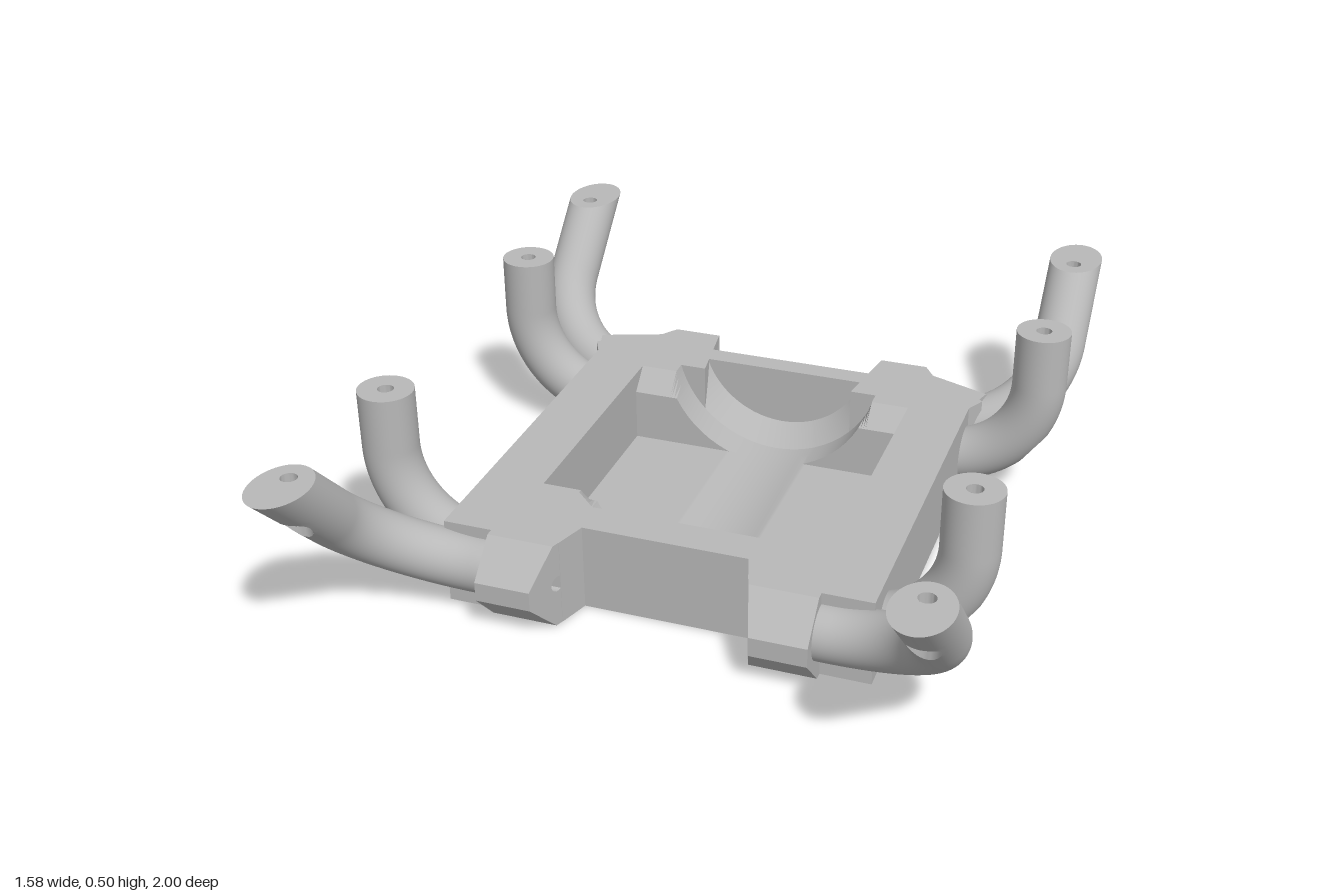
import * as THREE from 'three';
import { toCreasedNormals } from 'three/addons/utils/BufferGeometryUtils.js';

const HEIGHT = 0.225, TOP = 0.5, TUBE_R = 0.07, TUBE_X = 0.72;
const BORE_R = 0.02, COUNTERBORE_R = 0.037;

// Skins a grid of points (rows of [x, y, z]); wrap closes every row
function skin(rows, wrap, keep = () => true) {
  const n = rows[0].length, pts = rows.flat(), index = [];
  const tri = (...t) => { if (keep(t.map(i => pts[i]))) index.push(...t); };
  for (let i = 0; i < rows.length - 1; i++) {
    for (let j = 0; j < (wrap ? n : n - 1); j++) {
      const k = (j + 1) % n;
      const a = i * n + j, b = i * n + k, c = b + n, d = a + n;
      tri(a, d, c);
      tri(a, c, b);
    }
  }
  const g = new THREE.BufferGeometry();
  g.setAttribute('position', new THREE.Float32BufferAttribute(pts.flat(), 3));
  g.setIndex(index);
  g.computeVertexNormals();
  return g;
}

// Frame with a rectangular opening
function frameGeometry() {
  const half = [[0.21, -0.44], [0.235, -0.52], [0.535, -0.52], [0.535, 0.45], [0.56, 0.5], [0.5, 0.56]];
  const outline = [...half, ...half.map(([x, y]) => [-x, y]).reverse()];
  const shape = new THREE.Shape(outline.map(p => new THREE.Vector2(...p)));
  const hole = [[-0.38, -0.345], [-0.38, 0.5], [0.38, 0.5], [0.38, -0.345]];
  shape.holes.push(new THREE.Path(hole.map(p => new THREE.Vector2(...p))));
  return new THREE.ExtrudeGeometry(shape, { depth: HEIGHT, bevelEnabled: false }).rotateX(-Math.PI / 2);
}

// Recess: flat floor, chamfered end walls and a round cradle with conical ends
function recessGeometry() {
  const axisY = 0.3, R = 0.29, FLOOR = 0.03;
  const width = (r, top) => Math.sqrt(r * r - (axisY - top) ** 2);
  const rim = width(R, HEIGHT);
  const xs = [0.38, -0.38, rim, -rim];
  for (const top of [0.17, FLOOR]) xs.push(width(R, top), -width(R, top));
  for (let i = -14; i <= 14; i++) xs.push(rim * Math.sin(i / 15 * Math.PI / 2));
  xs.sort((a, b) => a - b);
  const section = (z, r, top) => xs.map(b => {
    const inside = Math.abs(b) <= rim + 1e-6;
    const x = inside ? b * width(r, HEIGHT) / rim : b;
    return [x, inside ? Math.min(top, axisY - Math.sqrt(r * r - x * x)) : top, z];
  });
  const flat = z => section(z, 0.235, HEIGHT).map(([x, , zz]) => [x, HEIGHT, zz]);
  const rows = [
    flat(-0.5), section(-0.5, 0.235, HEIGHT), section(-0.44, R, HEIGHT),
    section(-0.4, R, HEIGHT), section(-0.345, R, 0.17), section(-0.345, R, FLOOR),
    section(0.23, R, FLOOR), section(0.23, R, 0.17), section(0.28, R, HEIGHT),
    section(0.29, R, HEIGHT), section(0.345, 0.235, HEIGHT), flat(0.345),
  ];
  return toCreasedNormals(skin(rows, false), 0.5);
}

// Hinge lug: eight-sided nose with a pin hole; stations are [x, skew, skewStart, shorten]
function lugGeometry(tip, stations) {
  const base = 0.44;
  const shape = new THREE.Shape([
    [base, 0], [tip - 0.085, 0], [tip, 0.09], [tip, 0.14], [tip - 0.085, HEIGHT], [base, HEIGHT],
  ].map(p => new THREE.Vector2(...p)));
  shape.holes.push(new THREE.Path().absarc(tip - 0.095, 0.115, 0.02, 0, Math.PI * 2, true));
  const steps = stations.length - 1;
  const g = new THREE.ExtrudeGeometry(shape, { depth: 1, steps, bevelEnabled: false, curveSegments: 16 });
  const p = g.attributes.position;
  for (let i = 0; i < p.count; i++) {
    const [x, skew, start, shorten] = stations[Math.round(p.getZ(i) * steps)];
    const s0 = p.getX(i), s = s0 > base + 0.01 ? s0 - shorten : s0;
    p.setXYZ(i, x + skew * Math.max(0, s - start), p.getY(i), -s);
  }
  g.computeVertexNormals();
  return g;
}

// Bent post: runs outward, bends towards up, is cut level at the top and bored vertically
function makePost(name, material, { startX, base, bend, up, endZ, boreZ, underside }) {
  const group = new THREE.Group();
  group.name = name;
  const [uy, uz] = up, cx = TUBE_X - bend;
  const lead = cx - startX, arc = bend * Math.PI / 2;
  const rise = (TOP - base[0]) / uy - bend + 0.12;
  const total = lead + arc + rise, rows = [];
  for (let i = 0; i <= 80; i++) {
    const d = total * i / 80;
    const a = THREE.MathUtils.clamp((d - lead) / bend, 0, Math.PI / 2);
    const px = d < lead ? startX + d : cx + bend * Math.sin(a);
    const pu = bend * (1 - Math.cos(a)) + Math.max(0, d - lead - arc);
    const row = [];
    for (let j = 0; j < 56; j++) {
      const f = j / 56 * Math.PI * 2, n = TUBE_R * Math.cos(f), m = TUBE_R * Math.sin(f);
      const u = pu - n * Math.cos(a);
      let x = px + n * Math.sin(a);
      let y = base[0] + u * uy - m * uz, z = base[1] + u * uz + m * uy;
      if (y > TOP) { z -= (y - TOP) * uz / uy; y = TOP; }
      // Pull points near the bore onto its rim
      const r = Math.hypot(x - TUBE_X, z - boreZ);
      if (y < 0.47 && Math.abs(r - COUNTERBORE_R) < 0.006) {
        x = TUBE_X + (x - TUBE_X) * COUNTERBORE_R / r;
        z = boreZ + (z - boreZ) * COUNTERBORE_R / r;
        y = underside(x, z);
      }
      row.push([x, y, z]);
    }
    rows.push(row);
  }
  const keep = t => !t.every(([x, , z]) => Math.hypot(x - TUBE_X, z - boreZ) < COUNTERBORE_R + 1e-4)
    && !t.every(v => v[1] > TOP - 1e-5);
  const add = (part, g) => {
    const mesh = new THREE.Mesh(g, material);
    mesh.name = part;
    group.add(mesh);
  };
  add('postTube', skin(rows, true, keep));

  // Stepped bore
  const ring = (r, yAt) => Array.from({ length: 32 }, (_, j) => {
    const f = j / 32 * Math.PI * 2, x = TUBE_X + r * Math.cos(f), z = boreZ + r * Math.sin(f);
    return [x, yAt(x, z), z];
  });
  const bore = [ring(BORE_R, () => TOP), ring(BORE_R, () => 0.44),
    ring(COUNTERBORE_R, () => 0.44), ring(COUNTERBORE_R, underside)];
  add('postBore', toCreasedNormals(skin(bore, true), 0.5));

  // Level end face
  const cap = new THREE.Shape().absellipse(TUBE_X, -endZ, TUBE_R, TUBE_R / uy, 0, Math.PI * 2, false);
  cap.holes.push(new THREE.Path().absarc(TUBE_X, -boreZ, BORE_R, 0, Math.PI * 2, true));
  add('postEnd', new THREE.ShapeGeometry(cap, 28).rotateX(-Math.PI / 2).translate(0, TOP, 0));
  return group;
}

export function createModel() {
  const model = new THREE.Group();
  model.name = 'cradleBracket';
  const grey = new THREE.MeshStandardMaterial({ color: 0xb8b8b8, side: THREE.DoubleSide });
  grey.name = 'plainGrey';
  const add = (parent, name, g) => {
    const mesh = new THREE.Mesh(g, grey);
    mesh.name = name;
    parent.add(mesh);
  };

  add(model, 'frame', frameGeometry());
  add(model, 'recess', recessGeometry());
  add(model, 'bottomPlate', new THREE.BoxGeometry(0.78, 0.008, 0.87).translate(0, 0.004, -0.078));

  const backLug = lugGeometry(0.735, [
    [0.21, 0.343, 0.56, 0], [0.37, 0, 0, 0], [0.4, 0, 0, 0.045], [0.53, 0.33, 0.45, 0.105],
  ]);
  const frontLug = lugGeometry(0.625, [[0.21, 0.324, 0.44, 0], [0.41, 0, 0, 0]]);

  // Corners are built at the back left and mirrored
  for (const side of [1, -1]) {
    for (const end of [1, -1]) {
      const corner = new THREE.Group();
      corner.name = (end > 0 ? 'back' : 'front') + (side > 0 ? 'Left' : 'Right') + 'Corner';
      add(corner, 'hingeLug', end > 0 ? backLug : frontLug);
      corner.add(makePost('slantedPost', grey, {
        startX: 0.38, base: [0.125, -0.525], bend: 0.28, up: [Math.SQRT1_2, -Math.SQRT1_2],
        endZ: -0.9, boreZ: -0.86,
        underside: (x, z) => -z - 0.4 - Math.sqrt(2 * (TUBE_R ** 2 - (x - TUBE_X) ** 2)),
      }));
      corner.add(makePost('uprightPost', grey, {
        startX: 0.45, base: [0.1, -0.415], bend: 0.25, up: [1, 0], endZ: -0.415, boreZ: -0.415,
        underside: (x, z) => 0.35 - Math.sqrt(
          (0.25 + Math.sqrt(TUBE_R ** 2 - (z + 0.415) ** 2)) ** 2 - (x - 0.47) ** 2),
      }));
      corner.scale.set(side, 1, end);
      model.add(corner);
    }
  }
  return model;
}
